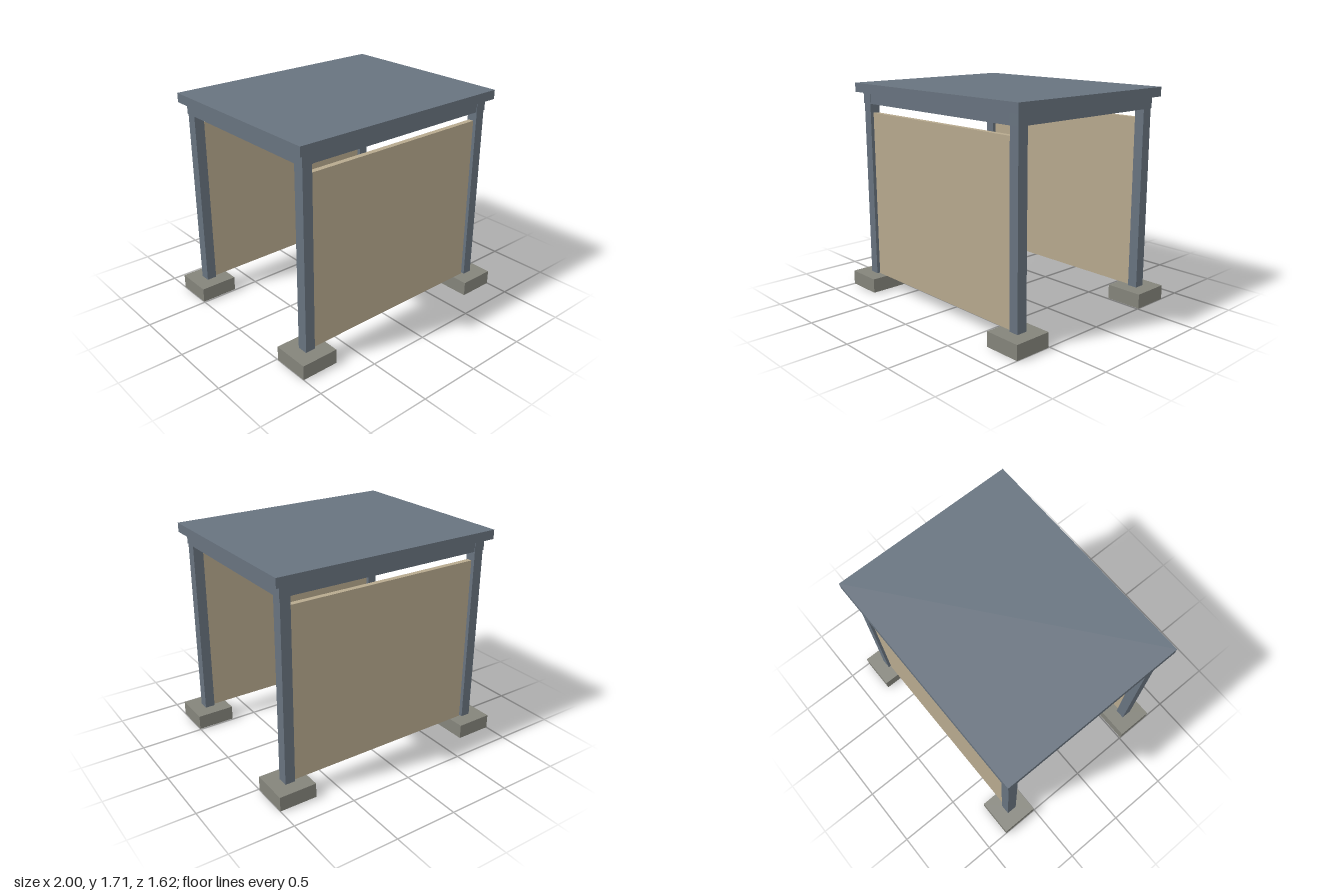
import * as THREE from 'three';

const mat = (name, color) => {
  const m = new THREE.MeshStandardMaterial({ color });
  m.name = name;
  return m;
};

export function createModel() {
  const steel = mat('slate steel', 0x68737f);
  const panel = mat('tan panel', 0xb7a98e);
  const concrete = mat('grey concrete', 0x84847b);

  const group = new THREE.Group();
  group.name = 'shelter';

  // Box given by its minimum and maximum on each axis
  const box = (name, material, [x0, x1], [y0, y1], [z0, z1]) => {
    const mesh = new THREE.Mesh(new THREE.BoxGeometry(x1 - x0, y1 - y0, z1 - z0), material);
    mesh.position.set((x0 + x1) / 2, (y0 + y1) / 2, (z0 + z1) / 2);
    mesh.name = name;
    group.add(mesh);
  };
  // Mirrors a range about zero when s is -1
  const side = (s, a, b) => (s > 0 ? [a, b] : [-b, -a]);

  // Flat roof slab, just clear of the beams
  box('roof', steel, [-0.943, 0.943], [1.637, 1.71], [-0.753, 0.753]);

  for (const s of [1, -1]) {
    const end = s > 0 ? 'front' : 'back';
    const hand = s > 0 ? 'left' : 'right';

    // Ring of beams on top of the posts
    box(hand + 'Beam', steel, side(s, 0.805, 0.895), [1.547, 1.63], [-0.707, 0.707]);
    box(end + 'Beam', steel, [-0.805, 0.805], [1.547, 1.63], side(s, 0.618, 0.703));

    // Wall panels set between the posts
    box(end + 'Panel', panel, [-0.8, 0.8], [0.116, 1.475], side(s, 0.641, 0.683));

    // Corner posts and their footings
    for (const t of [1, -1]) {
      const corner = end + (t > 0 ? 'Left' : 'Right');
      box(corner + 'Post', steel, side(t, 0.81, 0.89), [0.116, 1.547], side(s, 0.618, 0.703));
      box(corner + 'Footing', concrete, side(t, 0.7, 1), [0, 0.116], side(s, 0.51, 0.812));
    }
  }
  return group;
}
